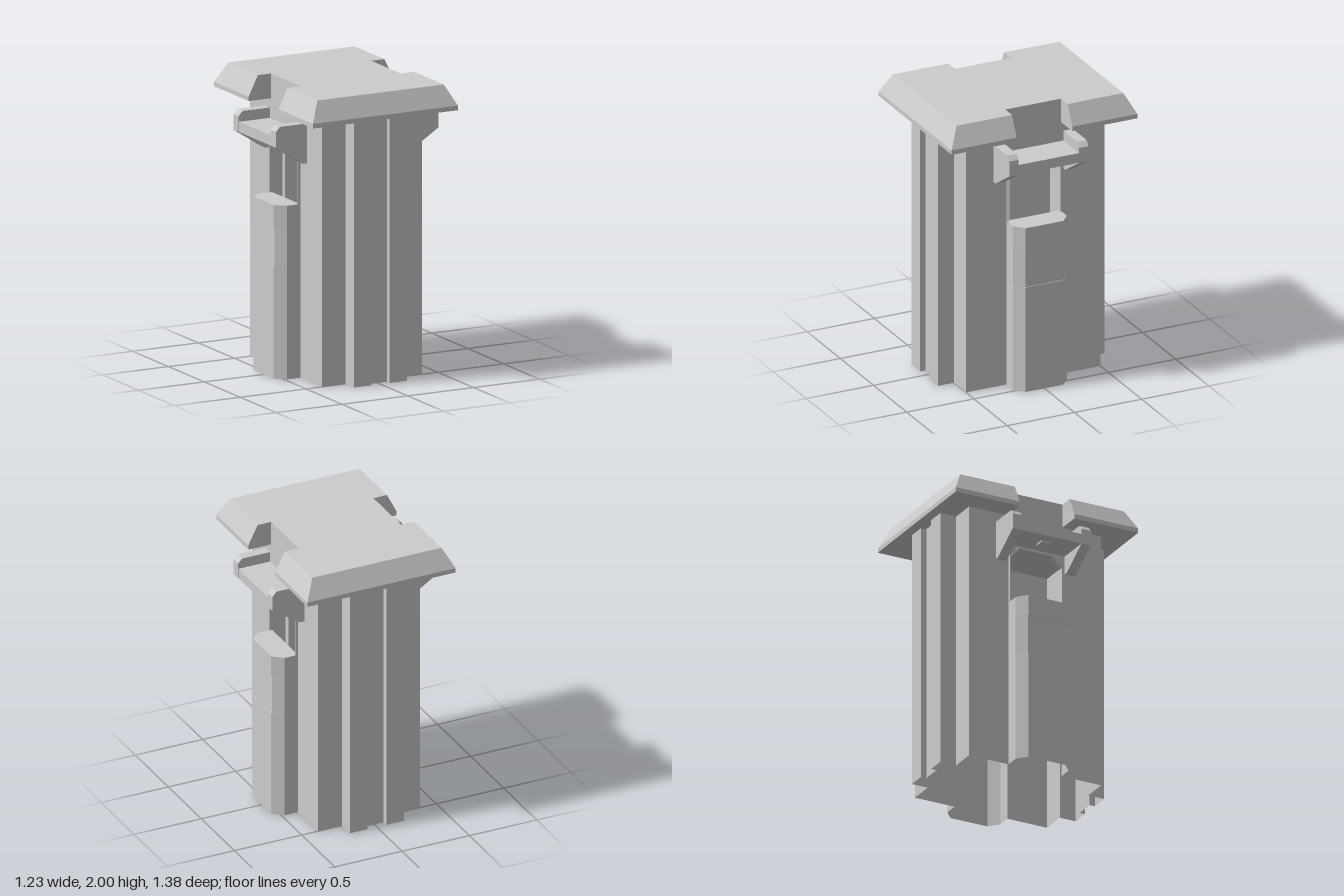
import * as THREE from 'three';

const grey = new THREE.MeshStandardMaterial({ color: 0xcccccc, flatShading: true, side: THREE.DoubleSide });

function add(parent, name, geometry, x = 0, y = 0, z = 0) {
  const mesh = new THREE.Mesh(geometry, grey);
  mesh.name = name;
  mesh.position.set(x, y, z);
  parent.add(mesh);
  return mesh;
}

const shapeOf = (pts) => new THREE.Shape(pts.map(([a, b]) => new THREE.Vector2(a, b)));

// Joins a stack of [x, z] outlines, each given as { y, pts }, with flat quads
function loft(rings, closed) {
  const pos = [];
  for (let r = 0; r < rings.length - 1; r++) {
    const lo = rings[r], hi = rings[r + 1], n = lo.pts.length;
    for (let i = 0; i < (closed ? n : n - 1); i++) {
      const j = (i + 1) % n;
      const v = (ring, k) => [ring.pts[k][0], ring.y, ring.pts[k][1]];
      const a = v(lo, i), b = v(lo, j), c = v(hi, j), d = v(hi, i);
      pos.push(...a, ...b, ...c, ...a, ...c, ...d);
    }
  }
  const g = new THREE.BufferGeometry();
  g.setAttribute('position', new THREE.Float32BufferAttribute(pos, 3));
  g.computeVertexNormals();
  return g;
}

// Horizontal face filling an [x, z] outline
function cap(pts, up = true) {
  const g = new THREE.ShapeGeometry(shapeOf(pts.map(([x, z]) => [x, -z])));
  g.rotateX(-Math.PI / 2);
  if (!up) {
    const index = g.index.array;
    for (let i = 0; i < index.length; i += 3) [index[i], index[i + 1]] = [index[i + 1], index[i]];
    g.computeVertexNormals();
  }
  return g;
}

// Chamfered arch outline in (z, y), from y0 up to the top
const arch = (w, y0, spring, top, flat) =>
  [[-w, y0], [w, y0], [w, spring], [flat, top], [-flat, top], [-w, spring]];

// Half of the booth: one ribbed end and one serving side
function buildHalf() {
  const half = new THREE.Group();
  const eave = 1.83, sill = 1.19;

  // Ribbed end wall
  const ribs = [[-0.38, 0.5], [-0.2, 0.5], [-0.2, 0.62], [-0.07, 0.62], [-0.07, 0.58],
    [0.07, 0.58], [0.07, 0.62], [0.2, 0.62], [0.2, 0.5], [0.38, 0.5]];
  add(half, 'ribbedWall', loft([{ y: 0, pts: ribs }, { y: eave, pts: ribs }], false));

  // Side wall with the hatch cut out, open to the bay below
  const side = shapeOf([[-0.5, 0], [-0.2, 0], [-0.2, 1.53], [-0.13, 1.61], [0.13, 1.61],
    [0.2, 1.53], [0.2, 0], [0.5, 0], [0.5, eave], [-0.5, eave]]);
  add(half, 'sideWall', new THREE.ShapeGeometry(side).rotateY(Math.PI / 2), 0.38);

  // Hatch frame
  const frame = shapeOf([[-0.2, sill], [-0.192, sill], [-0.192, 1.522], [-0.125, 1.592], [0.125, 1.592],
    [0.192, 1.522], [0.192, sill], [0.2, sill], [0.2, 1.53], [0.13, 1.61], [-0.13, 1.61], [-0.2, 1.53]]);
  add(half, 'hatchFrame',
    new THREE.ExtrudeGeometry(frame, { depth: 0.04, bevelEnabled: false }).rotateY(Math.PI / 2), 0.36);

  // Counter bay with a shallow recessed panel
  const bay = (x) => [[0.38, 0.2], [0.48, 0.2], [x, 0.14], [x, -0.14], [0.48, -0.2], [0.38, -0.2]];
  const levels = [[0, 0.55], [0.76, 0.55], [0.76, 0.545], [1.04, 0.545], [1.04, 0.55], [sill, 0.55]];
  add(half, 'counterBay', loft(levels.map(([y, x]) => ({ y, pts: bay(x) })), false));
  add(half, 'counterTop', cap(bay(0.55)), 0, sill);

  // Canopy shelf between two brackets, with a small lamp below
  add(half, 'canopy', new THREE.BoxGeometry(0.235, 0.07, 0.46), 0.4975, 1.657);
  add(half, 'canopyLamp', new THREE.BoxGeometry(0.07, 0.012, 0.07), 0.5, 1.617);
  const bracket = shapeOf([[0.38, 1.49], [0.41, 1.49], [0.617, 1.622], [0.617, 1.73],
    [0.587, 1.763], [0.38, 1.763]]);
  for (const z of [0.225, -0.295]) {
    add(half, 'canopyBracket', new THREE.ExtrudeGeometry(bracket, { depth: 0.07, bevelEnabled: false }), 0, 0, z);
  }
  return half;
}

// Roof outline with a notch in each long side
const roofOutline = (x, z) => [[-x, z], [x, z], [x, 0.207], [0.38, 0.207], [0.38, -0.207], [x, -0.207],
  [x, -z], [-x, -z], [-x, -0.207], [-0.38, -0.207], [-0.38, 0.207], [-x, 0.207]];

export function createModel() {
  const model = new THREE.Group();
  model.name = 'booth';

  // The two halves are the same, turned half way round
  for (const [name, turn] of [['leftHalf', 0], ['rightHalf', Math.PI]]) {
    const half = buildHalf();
    half.name = name;
    half.rotation.y = turn;
    model.add(half);
  }

  // Roof slab with sloped edges
  const roof = new THREE.Group();
  roof.name = 'roof';
  const eaves = roofOutline(0.55, 0.69), top = roofOutline(0.48, 0.62);
  add(roof, 'roofEdge', loft([{ y: 1.83, pts: eaves }, { y: 1.862, pts: eaves }, { y: 2, pts: top }], true));
  add(roof, 'roofTop', cap(top), 0, 2);
  add(roof, 'roofUnderside', cap(eaves, false), 0, 1.83);
  model.add(roof);
  return model;
}
